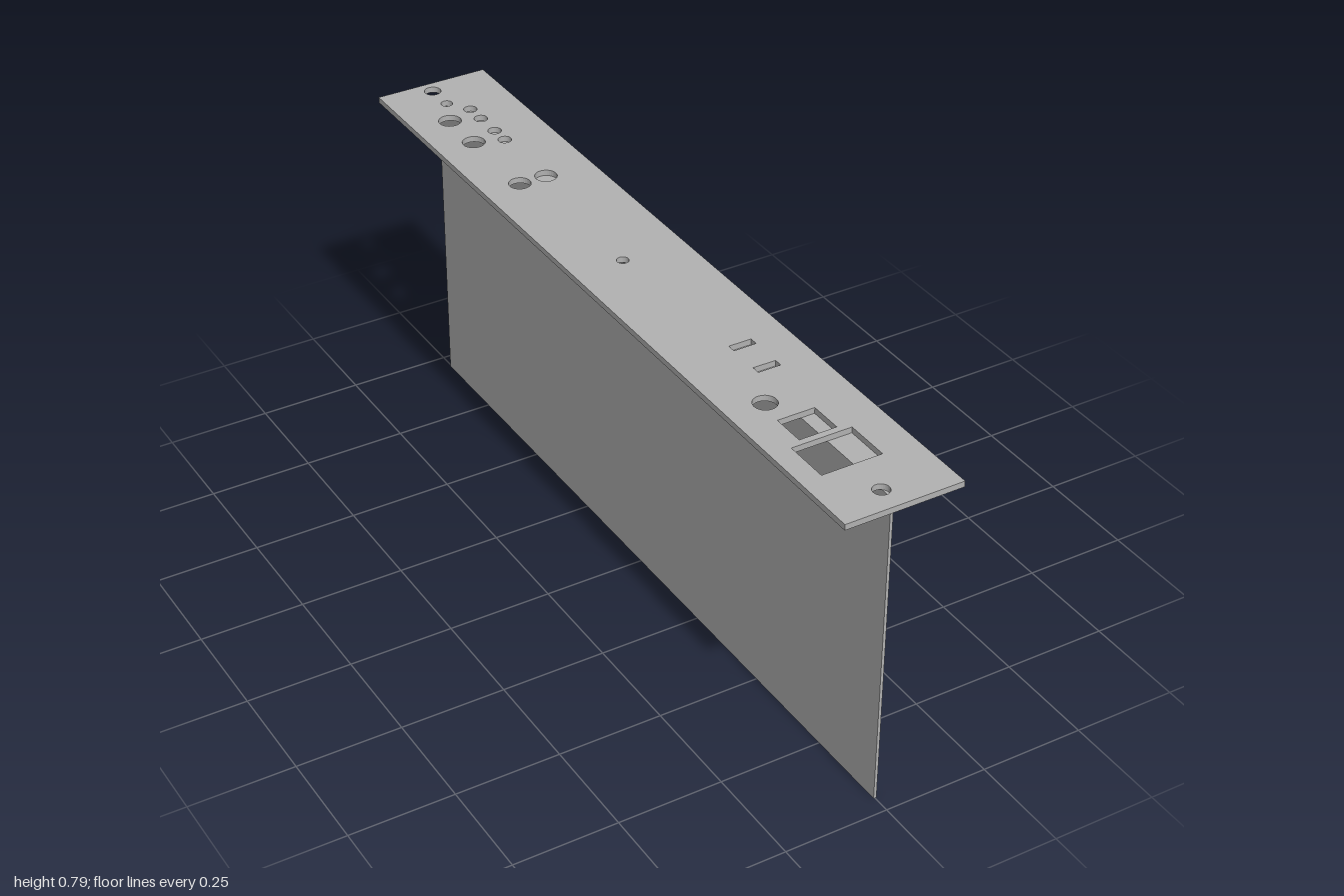
import * as THREE from 'three';

export function createModel() {
  const model = new THREE.Group();
  const metal = new THREE.MeshStandardMaterial({ color: 0xb3b3b3 });
  metal.name = 'grey sheet metal';

  const add = (name, geometry) => {
    const mesh = new THREE.Mesh(geometry, metal);
    mesh.name = name;
    model.add(mesh);
  };
  // Box given by its limits on each axis
  const box = (x0, x1, y0, y1, z0, z1) =>
    new THREE.BoxGeometry(x1 - x0, y1 - y0, z1 - z0)
      .translate((x0 + x1) / 2, (y0 + y1) / 2, (z0 + z1) / 2);
  // Rectangle outline in plan, drawn with shape y = -z
  const rect = (path, x0, x1, z0, z1) => {
    path.moveTo(x0, -z1);
    path.lineTo(x1, -z1);
    path.lineTo(x1, -z0);
    path.lineTo(x0, -z0);
    path.closePath();
    return path;
  };

  // Top panel with its cutouts
  const panel = rect(new THREE.Shape(), -0.141, 0.141, -1, 1);

  // Round holes: x, z, radius
  const roundHoles = [
    [-0.015, -0.963, 0.02], [-0.015, -0.89, 0.014],
    [-0.048, -0.81, 0.027], [-0.048, -0.69, 0.027],
    [0.02, -0.836, 0.016], [0.02, -0.783, 0.016],
    [0.02, -0.714, 0.016], [0.02, -0.664, 0.016],
    [-0.048, -0.466, 0.026], [0.02, -0.466, 0.026],
    [-0.016, -0.056, 0.014], [-0.048, 0.571, 0.027],
    [-0.016, 0.94, 0.019],
  ];
  for (const [x, z, r] of roundHoles) {
    panel.holes.push(new THREE.Path().absarc(x, -z, r, 0, Math.PI * 2, true));
  }
  // Slots and rectangular windows: x0, x1, z0, z1
  const rectHoles = [
    [0, 0.055, 0.355, 0.375], [0, 0.055, 0.45, 0.47],
    [-0.061, 0.029, 0.637, 0.717], [-0.09, 0.055, 0.733, 0.841],
  ];
  for (const r of rectHoles) panel.holes.push(rect(new THREE.Path(), ...r));

  add('topPanel', new THREE.ExtrudeGeometry(panel, {
    depth: 0.014, bevelEnabled: false, curveSegments: 16,
  }).rotateX(-Math.PI / 2).translate(0, 0.776, 0));

  // Upright sheet and the folded flange under the panel
  add('uprightSheet', box(-0.0035, 0.0035, 0, 0.776, -0.955, 0.957));
  add('foldedFlange', box(0.0035, 0.059, 0.769, 0.7755, -0.955, 0.957));

  return model;
}
